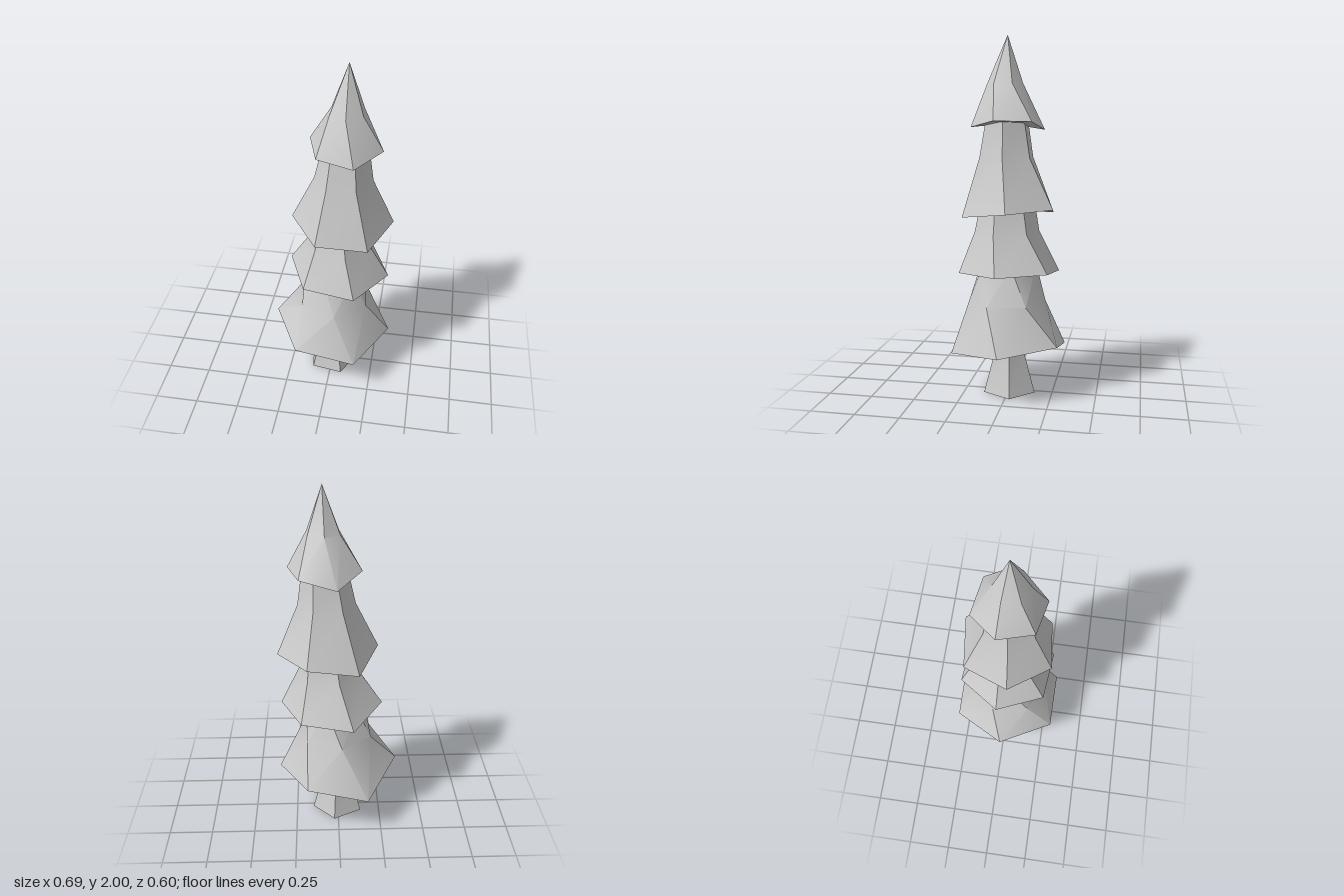
import * as THREE from 'three';
import { toCreasedNormals } from 'three/addons/utils/BufferGeometryUtils.js';

const material = new THREE.MeshStandardMaterial({ color: 0xcccccc, side: THREE.DoubleSide });

// One ring of corners; y is a single height or one height per corner
function ring(sides, x, z, radius, degrees, y) {
  return Array.from({ length: sides }, (_, i) => {
    const a = THREE.MathUtils.degToRad(degrees + (i * 360) / sides);
    return new THREE.Vector3(x + radius * Math.cos(a), Array.isArray(y) ? y[i] : y, z + radius * Math.sin(a));
  });
}

// Skin stacked rings from bottom to top, closing the underside and the tip
function loft(name, rings, tip) {
  const points = [];
  const base = rings[0];
  const n = base.length;
  const middle = base.reduce((sum, p) => sum.add(p), new THREE.Vector3()).divideScalar(n);
  for (let i = 0; i < n; i++) {
    const j = (i + 1) % n;
    points.push(middle, base[i], base[j]);
    for (let k = 0; k + 1 < rings.length; k++) {
      const low = rings[k], high = rings[k + 1];
      points.push(low[i], high[i], low[j], high[i], high[j], low[j]);
    }
    const last = rings[rings.length - 1];
    points.push(last[i], tip, last[j]);
  }
  const geometry = new THREE.BufferGeometry().setFromPoints(points);
  const mesh = new THREE.Mesh(toCreasedNormals(geometry, 0.65), material);
  mesh.name = name;
  return mesh;
}

// Foliage tiers: uneven hem, then rings as [x, z, radius, angle, y], then the tip
const tiers = [
  { name: 'bottomFoliage', hem: [0, 0, 0.345, 1, [0.295, 0.255, 0.315, 0.35, 0.245, 0.325]],
    rings: [[0.01, 0.01, 0.215, 22, 0.54], [0.015, 0, 0.17, 46, 0.76]], tip: [0.015, 0.8, 0] },
  { name: 'lowerFoliage', hem: [0.037, -0.008, 0.29, 6, [0.73, 0.715, 0.735, 0.755, 0.7, 0.735]],
    rings: [[0.045, 0.005, 0.18, 14, 0.94], [0.05, 0, 0.15, 17, 1.1]], tip: [0.05, 1.14, 0] },
  { name: 'upperFoliage', hem: [0.055, -0.008, 0.282, -6, [1.07, 1.035, 1.06, 1.09, 1.03, 1.08]],
    rings: [[0.06, 0.005, 0.158, -2, 1.35], [0.07, 0, 0.118, 1, 1.57]], tip: [0.07, 1.61, 0] },
  { name: 'topFoliage', hem: [0.07, -0.005, 0.203, 12, [1.55, 1.515, 1.535, 1.555, 1.5, 1.545]],
    rings: [[0.075, 0.01, 0.098, 27, 1.745]], tip: [0.08, 2, -0.005] },
];

export function createModel() {
  const tree = new THREE.Group();
  tree.name = 'tree';

  // Flared five-sided trunk
  tree.add(loft('trunk', [
    ring(5, 0, 0, 0.152, 63, 0),
    ring(5, 0, 0, 0.092, 63, 0.22),
    ring(5, 0, 0, 0.08, 63, 0.36),
  ], new THREE.Vector3(0, 0.38, 0)));

  for (const { name, hem, rings, tip } of tiers) {
    tree.add(loft(name, [hem, ...rings].map((r) => ring(6, ...r)), new THREE.Vector3(...tip)));
  }
  return tree;
}
